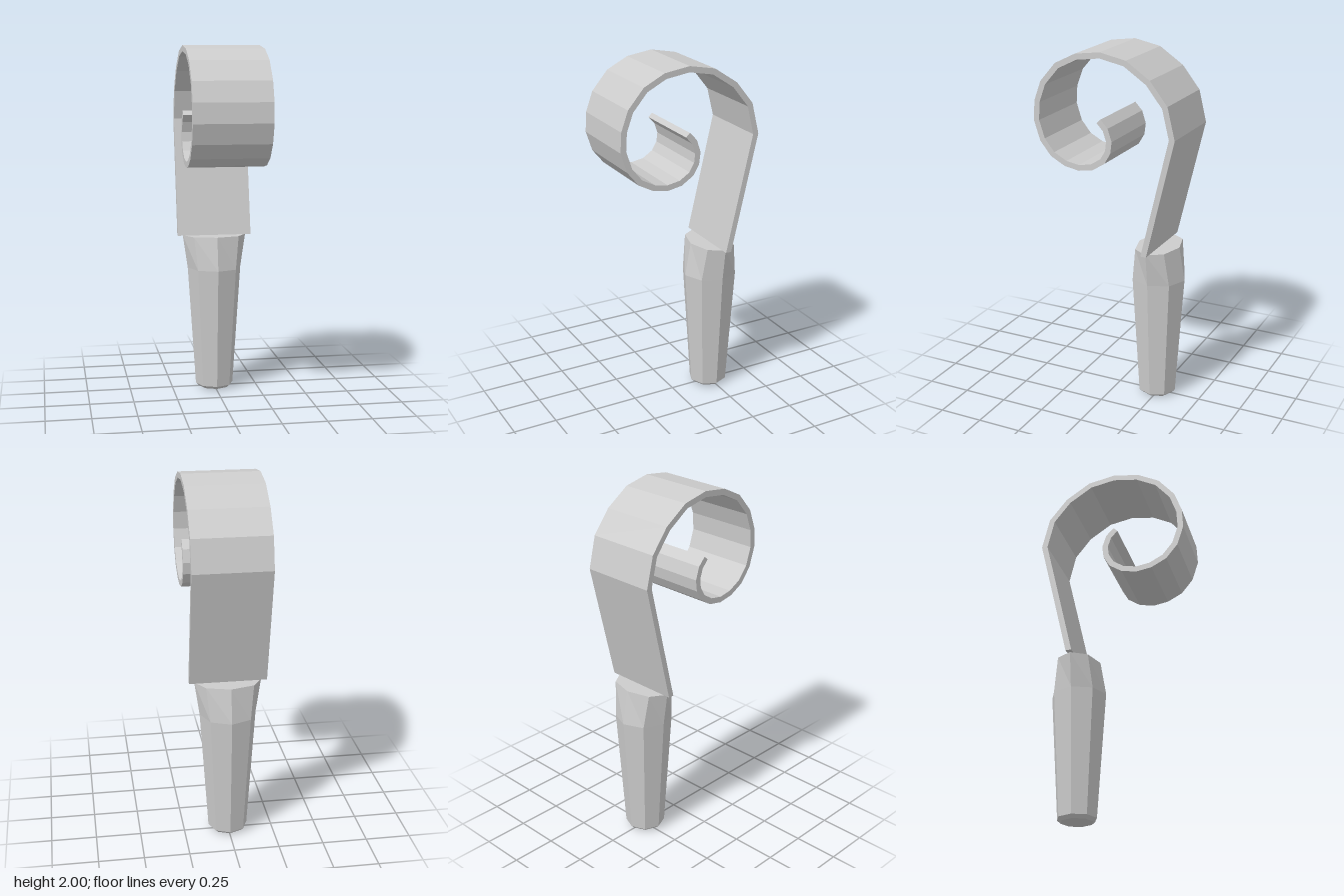
import * as THREE from 'three';

const metal = new THREE.MeshStandardMaterial({ color: 0xcccccc });
metal.name = 'lightGrey';

// Outer line of the curled strap as [z, y], from the handle up and round to the tip
const OUTER = [
  [-0.257, 0.912], [-0.413, 1.58], [-0.37, 1.755], [-0.27, 1.88], [-0.135, 1.97],
  [0.015, 2.0], [0.16, 1.98], [0.28, 1.92], [0.37, 1.815], [0.41, 1.705],
  [0.416, 1.595], [0.38, 1.485], [0.315, 1.405], [0.23, 1.36], [0.145, 1.345],
  [0.06, 1.36], [-0.01, 1.405], [-0.045, 1.465], [-0.053, 1.53], [-0.03, 1.6], [0.012, 1.645],
].map(([z, y]) => new THREE.Vector2(z, y));

// Mitred parallel line on the right-hand side of a path
function offsetPath(path, distance) {
  const normal = (a, b) => new THREE.Vector2(b.y - a.y, a.x - b.x).normalize();
  return path.map((p, i) => {
    const before = normal(path[Math.max(i - 1, 0)], path[Math.max(i, 1)]);
    const after = i < path.length - 1 ? normal(p, path[i + 1]) : before;
    const miter = before.clone().add(after).normalize();
    return p.clone().addScaledVector(miter, distance / miter.dot(before));
  });
}

// Flat strip bent into a spiral, extruded across x
function makeStrap() {
  const width = 0.428;
  const inner = offsetPath(OUTER, 0.032);
  inner[0].set(-0.224, 0.912); // level cut where it meets the handle
  const geometry = new THREE.ExtrudeGeometry(
    new THREE.Shape([...OUTER, ...inner.reverse()]),
    { depth: width, bevelEnabled: false },
  );
  geometry.translate(0, 0, -width / 2);
  geometry.rotateY(-Math.PI / 2); // profile x becomes world z
  const mesh = new THREE.Mesh(geometry, metal);
  mesh.name = 'curledStrap';
  return mesh;
}

// Tapered eight-sided grip whose top is squeezed wide in x and thin in z
function makeHandle() {
  const profile = [[0, 0], [0.09, 0.004], [0.11, 0.022], [0.156, 0.72], [0.156, 0.912], [0, 0.912]];
  const lathe = new THREE.LatheGeometry(profile.map(([r, y]) => new THREE.Vector2(r, y)), 8);
  const position = lathe.attributes.position;
  for (let i = 0; i < position.count; i++) {
    if (position.getY(i) > 0.9) {
      position.setX(i, position.getX(i) * 1.18);
      position.setZ(i, position.getZ(i) * 0.78);
    }
  }
  const geometry = lathe.toNonIndexed();
  geometry.computeVertexNormals(); // hard facets
  const mesh = new THREE.Mesh(geometry, metal);
  mesh.name = 'handle';
  mesh.position.z = -0.24;
  return mesh;
}

export function createModel() {
  const model = new THREE.Group();
  model.name = 'curledTool';
  model.add(makeHandle(), makeStrap());
  return model;
}
